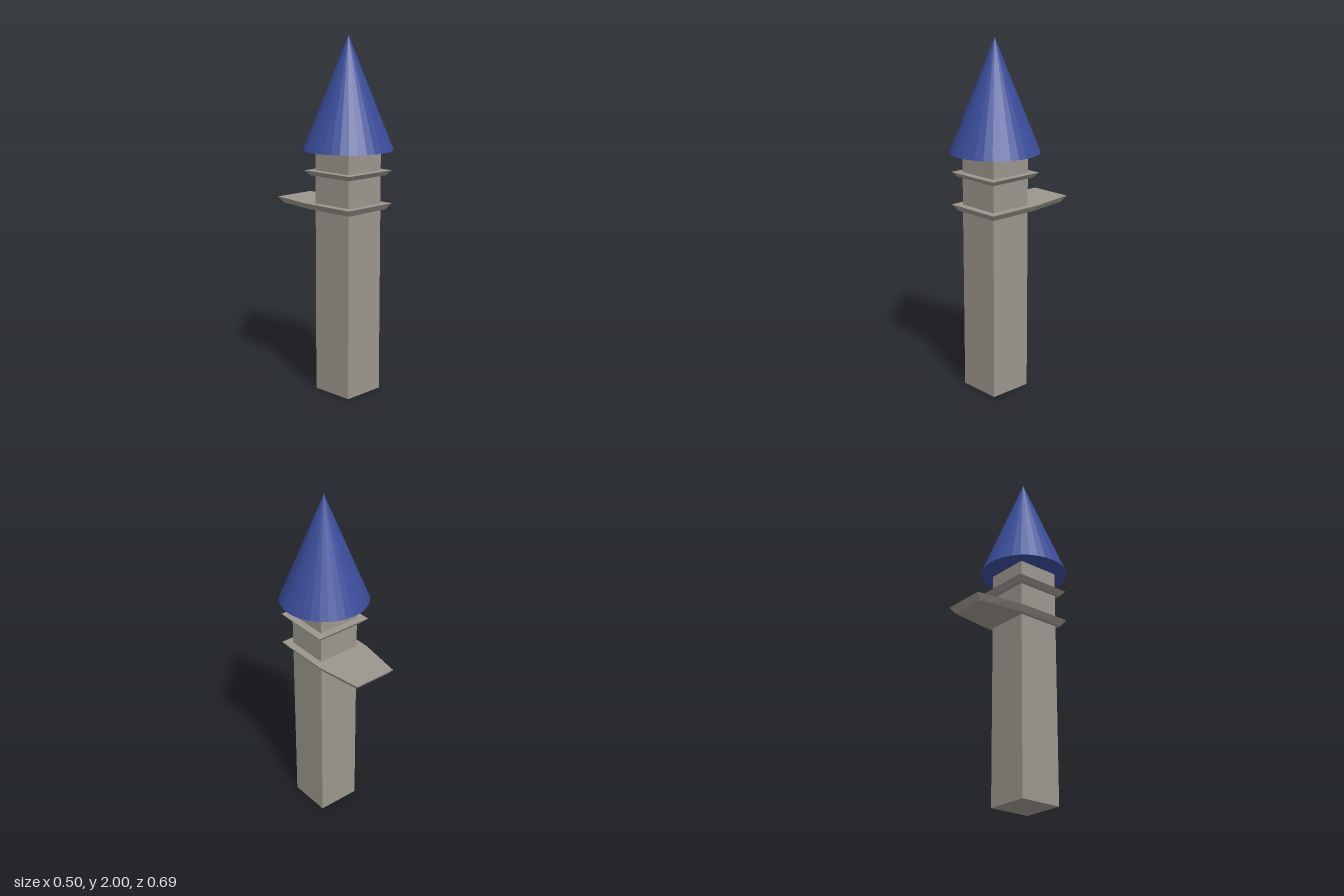
import * as THREE from 'three';
import { ConvexGeometry } from 'three/addons/geometries/ConvexGeometry.js';

const AXIS_Z = 0.093; // tower axis

// Slab with a bevelled underside: a top outline and a smaller bottom outline
function makeSlab(name, top, bottom, yTop, yBottom, material) {
  const points = [];
  for (const side of [-1, 1]) {
    for (const [x, z] of top) points.push(new THREE.Vector3(side * x, yTop, z));
    for (const [x, z] of bottom) points.push(new THREE.Vector3(side * x, yBottom, z));
  }
  const mesh = new THREE.Mesh(new ConvexGeometry(points), material);
  mesh.name = name;
  return mesh;
}

export function createModel() {
  const group = new THREE.Group();
  group.name = 'tower';

  const stone = new THREE.MeshStandardMaterial({ color: 0x9c968d });
  stone.name = 'stone grey';
  const roofBlue = new THREE.MeshStandardMaterial({ color: 0x3a4d9a });
  roofBlue.name = 'roof blue';

  // Square shaft
  const shaft = new THREE.Mesh(new THREE.BoxGeometry(0.254, 1.38, 0.254), stone);
  shaft.name = 'shaft';
  shaft.position.set(0, 0.69, AXIS_Z);
  group.add(shaft);

  // Upper ledge around the shaft
  group.add(makeSlab('upperLedge',
    [[0.17, 0.264], [0.17, -0.079]],
    [[0.146, 0.24], [0.146, -0.054]],
    1.265, 1.237, stone));

  // Lower ledge, drawn out into a tapering walkway at the back
  group.add(makeSlab('lowerLedge',
    [[0.172, 0.264], [0.17, -0.075], [0.127, -0.343]],
    [[0.146, 0.24], [0.146, -0.06], [0.108, -0.315]],
    1.08, 1.045, stone));

  // Faceted conical roof
  const roofGeometry = new THREE.ConeGeometry(0.25, 0.62, 32).toNonIndexed();
  roofGeometry.computeVertexNormals();
  const roof = new THREE.Mesh(roofGeometry, roofBlue);
  roof.name = 'roof';
  roof.position.set(0, 1.69, AXIS_Z);
  group.add(roof);

  return group;
}
